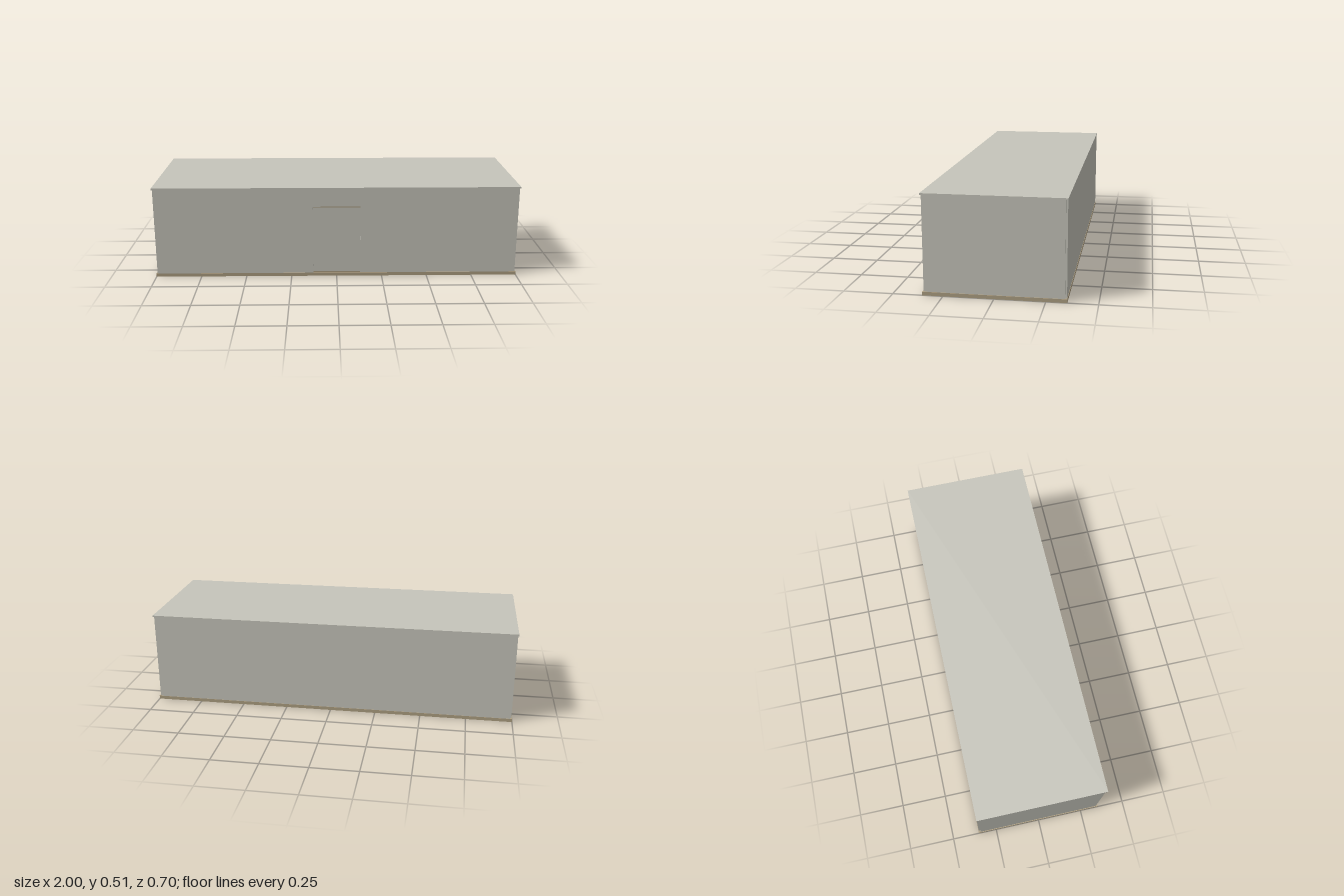
import * as THREE from 'three';

export function createModel() {
  const model = new THREE.Group();
  model.name = 'cabin';
  const panel = new THREE.MeshStandardMaterial({ color: 0xc6c5bb });
  panel.name = 'pale grey panel';
  const wood = new THREE.MeshStandardMaterial({ color: 0xae9f82 });
  wood.name = 'tan board';

  // box given by its minimum and maximum corners
  function slab(name, material, [x0, y0, z0], [x1, y1, z1]) {
    const mesh = new THREE.Mesh(new THREE.BoxGeometry(x1 - x0, y1 - y0, z1 - z0), material);
    mesh.position.set((x0 + x1) / 2, (y0 + y1) / 2, (z0 + z1) / 2);
    mesh.name = name;
    model.add(mesh);
  }

  const floorTop = 0.018, wallTop = 0.498, roofTop = 0.507;
  const halfDepth = 0.352, door = 0.13, doorTop = 0.4;

  // floor and roof overhang the walls slightly
  slab('floor', wood, [-1, 0, -halfDepth], [1, floorTop, halfDepth]);
  slab('roof', panel, [-1, wallTop, -halfDepth], [1, roofTop, halfDepth]);

  // end walls sit between the long walls, leaving notched corners
  for (const [side, name] of [[1, 'leftEndWall'], [-1, 'rightEndWall']]) {
    const xs = [side * 0.986, side * 0.996].sort((a, b) => a - b);
    slab(name, panel, [xs[0], floorTop, -0.341], [xs[1], wallTop, 0.341]);
  }
  slab('backWall', panel, [-0.988, floorTop, -0.35], [0.988, wallTop, -0.341]);

  // front wall around the doorway
  slab('frontWallRight', panel, [-0.988, floorTop, 0.341], [-door, wallTop, 0.35]);
  slab('frontWallLeft', panel, [door, floorTop, 0.341], [0.988, wallTop, 0.348]);
  slab('lintel', panel, [-door, doorTop, 0.341], [door, wallTop, 0.348]);

  // recessed door with narrow boards above and below
  slab('door', panel, [-door, 0.024, 0.337], [door, 0.394, 0.344]);
  slab('doorHead', wood, [-door, 0.394, 0.336], [door, doorTop, 0.342]);
  slab('threshold', wood, [-door, floorTop, 0.336], [door, 0.024, 0.342]);

  return model;
}
